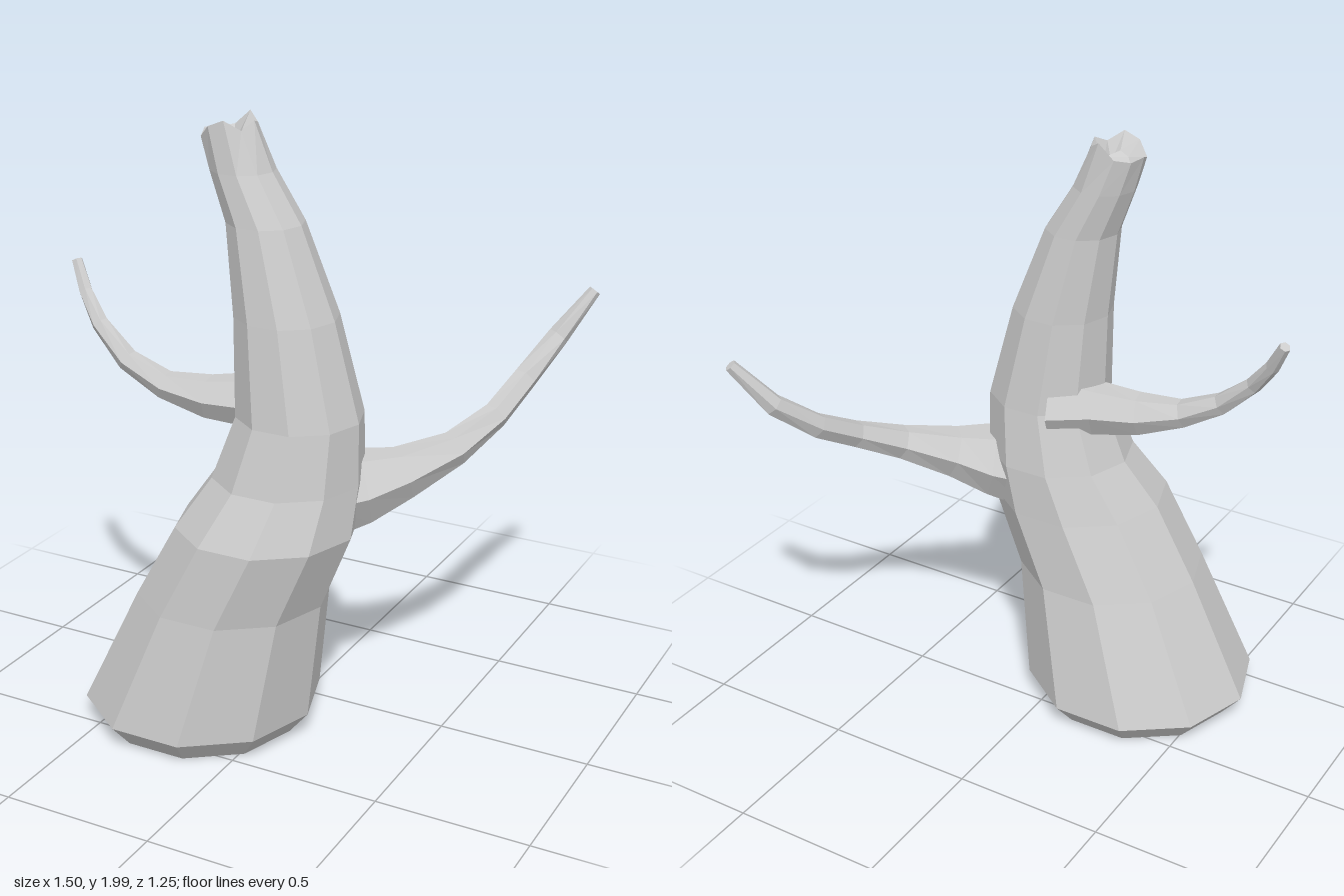
import * as THREE from 'three';

const bark = new THREE.MeshStandardMaterial({ color: 0xcccccc, flatShading: true, side: THREE.DoubleSide });

// Joins loops of points into a faceted skin; optionally closes the last loop.
function loft(name, loops, cap) {
  const n = loops[0].length;
  const pos = loops.flat().flatMap((p) => [p.x, p.y, p.z]);
  const index = [];
  for (let i = 0; i < loops.length - 1; i++) {
    for (let j = 0; j < n; j++) {
      const a = i * n + j, b = i * n + ((j + 1) % n);
      index.push(a, a + n, b, b, a + n, b + n);
    }
  }
  if (cap) {
    const s = (loops.length - 1) * n;
    for (let j = 1; j < n - 1; j++) index.push(s, s + j + 1, s + j);
  }
  const g = new THREE.BufferGeometry();
  g.setAttribute('position', new THREE.Float32BufferAttribute(pos, 3));
  g.setIndex(index);
  g.computeVertexNormals();
  const mesh = new THREE.Mesh(g, bark);
  mesh.name = name;
  return mesh;
}

// Level ten-sided ring of the trunk, with slope along x and per-corner lift.
function trunkRing([x, y, z, r, slope = 0], lift = []) {
  return Array.from({ length: 10 }, (_, j) => {
    const a = (j / 10) * Math.PI * 2;
    const dx = Math.cos(a) * r;
    return new THREE.Vector3(x + dx, y + dx * slope + (lift[j] ?? 0), z + Math.sin(a) * r);
  });
}

// Six-sided rings set square to a path of [x, y, z, radius].
function branch(name, path) {
  const pts = path.map(([x, y, z]) => new THREE.Vector3(x, y, z));
  const loops = path.map(([, , , r], i) => {
    const dir = pts[Math.min(i + 1, pts.length - 1)].clone().sub(pts[Math.max(i - 1, 0)]).normalize();
    const side = new THREE.Vector3(0, 1, 0).cross(dir).normalize();
    const up = dir.clone().cross(side);
    return Array.from({ length: 6 }, (_, j) => {
      const a = ((j + 0.5) / 6) * Math.PI * 2;
      return pts[i].clone().addScaledVector(up, Math.cos(a) * r).addScaledVector(side, Math.sin(a) * r);
    });
  });
  return loft(name, loops, true);
}

export function createModel() {
  const tree = new THREE.Group();
  tree.name = 'deadTree';

  // Leaning trunk, open underneath, with a jagged broken top and a shallow hollow
  const rings = [
    [-0.245, 0, 0.26, 0.32],
    [-0.245, 0.08, 0.26, 0.387],
    [-0.12, 0.48, 0.265, 0.31],
    [0.0, 0.73, 0.26, 0.29],
    [0.055, 0.89, 0.22, 0.24],
    [0.09, 1.09, 0.21, 0.2],
    [0.045, 1.4, 0.21, 0.162],
    [-0.025, 1.68, 0.21, 0.12],
    [-0.1, 1.83, 0.21, 0.1],
  ].map((r) => trunkRing(r));
  const jag = [0, -0.02, 0.02, 0.01, -0.02, 0.0, -0.01, -0.01, 0.025, -0.01];
  rings.push(
    trunkRing([-0.145, 1.96, 0.21, 0.085, 0.2], jag),
    trunkRing([-0.14, 1.91, 0.21, 0.045, 0.2], jag),
  );
  tree.add(loft('trunk', rings, true));

  // Thin branch curling up on the right
  tree.add(branch('rightBranch', [
    [0.03, 1.09, 0.13, 0.13],
    [-0.1, 1.09, 0.17, 0.088],
    [-0.24, 1.09, 0.205, 0.07],
    [-0.38, 1.115, 0.235, 0.046],
    [-0.51, 1.18, 0.245, 0.036],
    [-0.62, 1.28, 0.23, 0.028],
    [-0.69, 1.37, 0.2, 0.023],
    [-0.738, 1.46, 0.172, 0.018],
  ]));

  // Longer branch reaching left and back
  tree.add(branch('leftBranch', [
    [0.14, 0.83, 0.16, 0.16],
    [0.25, 0.84, 0.09, 0.12],
    [0.35, 0.875, 0.015, 0.085],
    [0.47, 0.935, -0.11, 0.056],
    [0.545, 1.01, -0.255, 0.044],
    [0.585, 1.095, -0.4, 0.041],
    [0.645, 1.21, -0.53, 0.035],
    [0.733, 1.355, -0.61, 0.02],
  ]));

  return tree;
}
